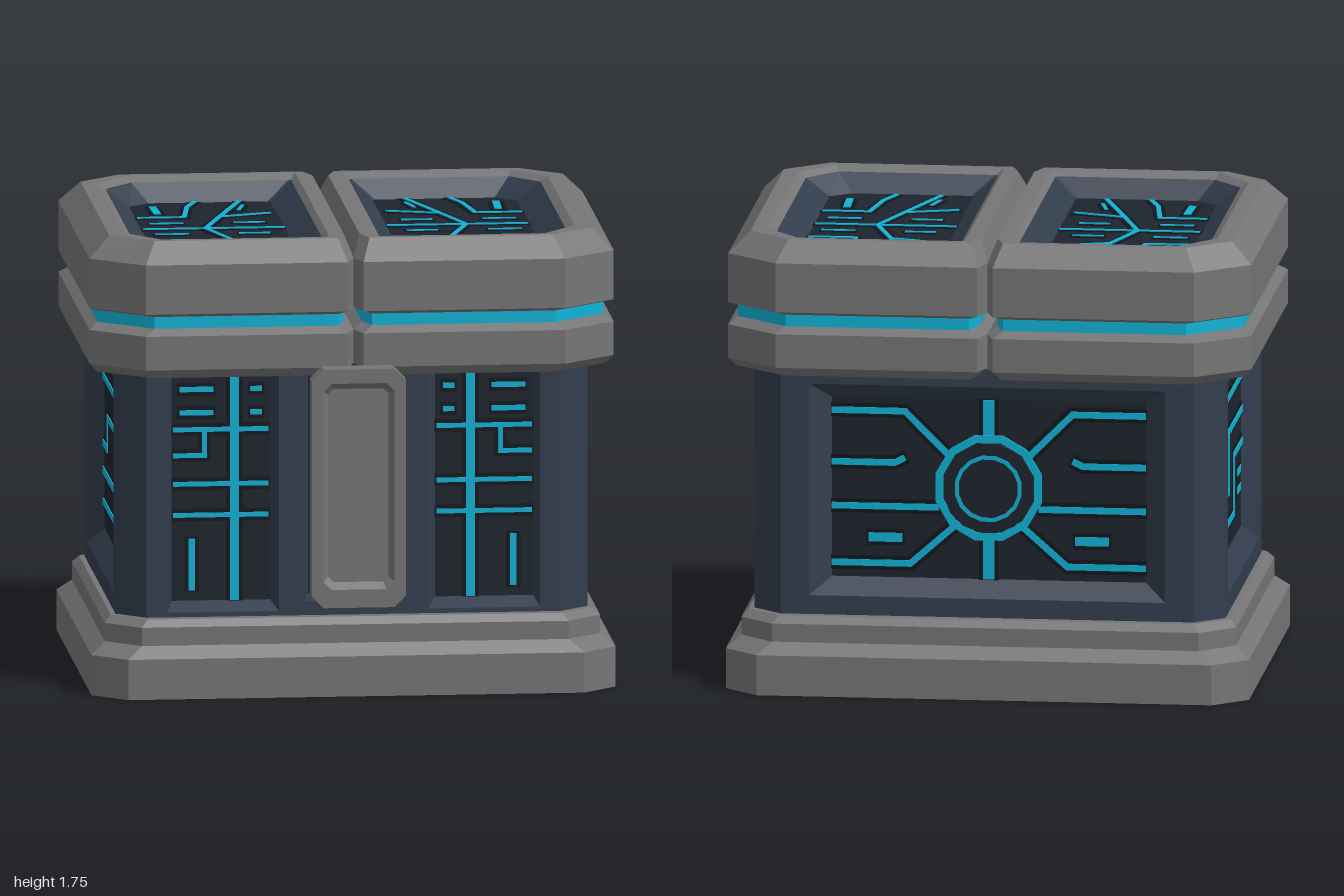
import * as THREE from 'three';
import { mergeGeometries } from 'three/addons/utils/BufferGeometryUtils.js';

const material = (color) => new THREE.MeshStandardMaterial({ color, flatShading: true });
const GREY = material(0x757575), BLUE = material(0x323d4d), DARK = material(0x1d242e),
  BLACK = material(0x11161d), CYAN = material(0x10b2d6);

function add(parent, name, geometry, mat) {
  const mesh = new THREE.Mesh(geometry, mat);
  mesh.name = name;
  parent.add(mesh);
  return mesh;
}

// Octagonal ring in the xy plane at height z; separate chamfers on the inner (x0) and outer (x1) sides.
function octagon(z, x0, x1, y0, y1, [ix, iy], [ox, oy], side = 1) {
  const ring = [[x0 + ix, y0], [x1 - ox, y0], [x1, y0 + oy], [x1, y1 - oy],
    [x1 - ox, y1], [x0 + ix, y1], [x0, y1 - iy], [x0, y0 + iy]].map(([x, y]) => [x * side, y, z]);
  return side < 0 ? ring.reverse() : ring;
}
const rect = (z, x0, x1, y0, y1) => [[x0, y0, z], [x1, y0, z], [x1, y1, z], [x0, y1, z]];

// Joins counter-clockwise rings with flat faces, with optional end caps.
function loft(rings, capStart = false, capEnd = false) {
  const p = [], n = rings[0].length;
  const tri = (a, b, c) => p.push(...a, ...b, ...c);
  for (let i = 0; i < rings.length - 1; i++) {
    for (let j = 0; j < n; j++) {
      const k = (j + 1) % n, lo = rings[i], hi = rings[i + 1];
      tri(lo[j], lo[k], hi[k]);
      tri(lo[j], hi[k], hi[j]);
    }
  }
  const first = rings[0], last = rings[rings.length - 1];
  for (let j = 1; j < n - 1; j++) {
    if (capStart) tri(first[0], first[j + 1], first[j]);
    if (capEnd) tri(last[0], last[j], last[j + 1]);
  }
  const g = new THREE.BufferGeometry();
  g.setAttribute('position', new THREE.Float32BufferAttribute(p, 3));
  g.computeVertexNormals();
  return g;
}

const extrude = (shape, depth) => new THREE.ExtrudeGeometry(shape, { depth, bevelEnabled: false });

// Flat mitred strip following a polyline.
function ribbon(points, width, depth, extend = 0) {
  const pts = points.map(([x, y]) => new THREE.Vector2(x, y)), n = pts.length;
  const dirs = pts.slice(1).map((q, i) => q.clone().sub(pts[i]).normalize());
  pts[0].addScaledVector(dirs[0], -extend);
  pts[n - 1].addScaledVector(dirs[n - 2], extend);
  const left = [], right = [];
  pts.forEach((q, i) => {
    const a = dirs[Math.max(i - 1, 0)], b = dirs[Math.min(i, n - 2)];
    const m = new THREE.Vector2(-a.y - b.y, a.x + b.x).normalize();
    const reach = width / 2 / (m.x * -a.y + m.y * a.x);
    left.push(q.clone().addScaledVector(m, reach));
    right.unshift(q.clone().addScaledVector(m, -reach));
  });
  return extrude(new THREE.Shape([...left, ...right]), depth);
}

// Glowing lines, each lying in a slightly wider black channel. A line is [width, ...points].
function circuit(parent, lines, z, mirror = 1) {
  const paths = lines.map(([w, ...pts]) => [w, pts.map(([x, y]) => [x * mirror, y])]);
  const build = (extra, depth, extend) => mergeGeometries(paths.map(([w, p]) => ribbon(p, w + extra, depth, extend)));
  add(parent, 'circuitChannels', build(0.03, 0.003, 0.008), BLACK).position.z = z;
  add(parent, 'circuitLines', build(0, 0.007, 0), CYAN).position.z = z;
}

// Wall face with bevelled rectangular recesses: each is [outer bounds, inner bounds].
function wall(parent, [x0, x1], recesses) {
  const depth = 0.06, toShape = (b) => rect(0, ...b).map(([x, y]) => new THREE.Vector2(x, y));
  const face = new THREE.Shape(toShape([x0, x1, 0.27, 1.26]));
  recesses.forEach(([outer]) => face.holes.push(new THREE.Path(toShape(outer))));
  add(parent, 'wallFrame', new THREE.ShapeGeometry(face), BLUE);
  for (const [outer, inner] of recesses) {
    add(parent, 'panelBevel', loft([rect(0, ...outer), rect(-depth, ...inner)]), BLUE);
    add(parent, 'wallPanel', loft([rect(-depth, ...inner)], false, true), DARK);
  }
}

const SIDE_LINES = [
  [0.026, [-0.405, 1.025], [0.505, 1.025]],
  [0.026, [-0.405, 0.89], [0.345, 0.89], [0.345, 0.765], [0.505, 0.765]],
  [0.03, [0.05, 0.89], [0.05, 0.66], [0.505, 0.66]],
  [0.026, [-0.405, 0.765], [-0.12, 0.765], [-0.12, 0.54], [0.505, 0.54]],
  [0.026, [-0.35, 0.67], [-0.24, 0.67]], [0.026, [-0.35, 0.6], [-0.24, 0.6]],
];
const FRONT_LINES = [
  [0.035, [0.45, 0.35], [0.45, 1.21]],
  ...[1.01, 0.8, 0.68].map((y) => [0.018, [0.32, y], [0.685, y]]),
  [0.018, [0.685, 0.91], [0.565, 0.91], [0.565, 1.01]],
  ...[1.165, 1.075].flatMap((y) => [[0.02, [0.53, y], [0.66, y]], [0.02, [0.345, y], [0.39, y]]]),
  [0.025, [0.613, 0.39], [0.613, 0.59]],
];
const BACK_LINES = [
  [0.025, [0.6, 1.08], [0.32, 1.08], [0.15, 0.91]],
  [0.025, [0.6, 0.88], [0.36, 0.88], [0.32, 0.9]],
  [0.025, [0.6, 0.71], [0.19, 0.71]],
  [0.035, [0.46, 0.59], [0.33, 0.59]],
  [0.025, [0.6, 0.49], [0.3, 0.49], [0.13, 0.64]],
];
// Half of a lid pattern, measured from its middle line.
const LID_LINES = [
  [0.018, [0.497, 0], [0.42, 0.245], [0.315, 0.575]],
  [0.018, [0.42, 0.245], [0.22, 0.31]],
  [0.018, [0.735, 0.245], [0.555, 0.245], [0.525, 0.46], [0.485, 0.575]],
  [0.014, [0.57, 0.115], [0.7, 0.115]], [0.014, [0.26, 0.115], [0.38, 0.115]],
  [0.028, [0.65, 0.32], [0.655, 0.475]], [0.014, [0.335, 0.38], [0.31, 0.485]],
];

function medallionRing(r0, r1, sides) {
  const circle = (r) => Array.from({ length: sides }, (_, i) => {
    const a = ((i + 0.5) / sides) * Math.PI * 2;
    return new THREE.Vector2(Math.cos(a) * r, 0.79 + Math.sin(a) * r);
  });
  const shape = new THREE.Shape(circle(r1));
  if (r0) shape.holes.push(new THREE.Path(circle(r0)));
  return shape;
}

function createBody(root) {
  // Side walls, mirrored
  for (const s of [1, -1]) {
    const side = new THREE.Group();
    side.name = s > 0 ? 'leftWall' : 'rightWall';
    side.rotation.y = s * Math.PI / 2;
    side.position.x = s * 0.9;
    const span = (a, b) => (s > 0 ? [a, b] : [-b, -a]);
    wall(side, span(-0.57, 0.67), [[[...span(-0.485, 0.58), 0.37, 1.19], [...span(-0.405, 0.505), 0.435, 1.13]]]);
    circuit(side, SIDE_LINES, -0.06, s);
    root.add(side);
  }
  // Front wall with three recesses
  const front = new THREE.Group();
  front.name = 'frontWall';
  front.position.z = 0.67;
  wall(front, [-0.79, 0.79], [
    [[-0.71, -0.285, 0.315, 1.25], [-0.69, -0.315, 0.35, 1.21]],
    [[-0.19, 0.19, 0.35, 1.25], [-0.17, 0.17, 0.37, 1.21]],
    [[0.285, 0.71, 0.315, 1.25], [0.315, 0.69, 0.35, 1.21]]]);
  for (const s of [1, -1]) circuit(front, FRONT_LINES, -0.06, s);
  circuit(front, [[0.02, [-0.11, 1.18], [-0.11, 0.385], [0.11, 0.385], [0.11, 1.18]]], -0.06);
  root.add(front);
  // Back wall with a round medallion
  const back = new THREE.Group();
  back.name = 'backWall';
  back.rotation.y = Math.PI;
  back.position.z = -0.77;
  wall(back, [-0.79, 0.79], [[[-0.68, 0.68, 0.37, 1.19], [-0.6, 0.6, 0.435, 1.13]]]);
  for (const s of [1, -1]) circuit(back, BACK_LINES, -0.06, s);
  circuit(back, [[0.045, [0, 0.435], [0, 0.6]], [0.045, [0, 0.98], [0, 1.13]]], -0.06);
  add(back, 'medallionRing', extrude(medallionRing(0.18, 0.21, 12), 0.012), CYAN).position.z = -0.06;
  add(back, 'medallionDisc', extrude(medallionRing(0, 0.175, 16), 0.02), DARK).position.z = -0.06;
  add(back, 'medallionInnerRing', extrude(medallionRing(0.115, 0.13, 16), 0.005), CYAN).position.z = -0.04;
  root.add(back);
  // Chamfered corner posts
  for (const sx of [1, -1]) for (const sz of [1, -1]) {
    const shape = new THREE.Shape([[0.79, 0.62], [0.9, 0.62], [0.79, 0.72]]
      .map(([x, y]) => new THREE.Vector2(x * sx, -(y * sz - 0.05))));
    const post = add(root, 'cornerPost', extrude(shape, 0.99), BLUE);
    post.rotation.x = -Math.PI / 2;
    post.position.y = 0.27;
  }
}

function createLid(root, s) {
  const lid = new THREE.Group();
  lid.name = s > 0 ? 'leftLid' : 'rightLid';
  lid.rotation.x = -Math.PI / 2;
  const ring = (z, x0, x1, half, outer = [0.2, 0.17], inner = [0.03, 0.09]) =>
    octagon(z, x0, x1, 0.05 - half, 0.05 + half, inner, outer, s);
  const grooveLow = ring(1.42, 0.035, 0.965, 0.765), grooveHigh = ring(1.465, 0.035, 0.965, 0.765);
  add(lid, 'lidLowerBand', loft([ring(1.23, 0.03, 0.97, 0.77), ring(1.265, 0, 1, 0.8),
    ring(1.395, 0, 1, 0.8), grooveLow], true), GREY);
  add(lid, 'lidGlowBand', loft([grooveLow, grooveHigh]), CYAN);
  const sharp = [0.01, 0.01];
  const lip = ring(1.73, 0.11, 0.83, 0.655, [0.11, 0.13], sharp);
  const floor = ring(1.66, 0.195, 0.74, 0.59, [0.08, 0.065], sharp);
  add(lid, 'lidUpperBand', loft([grooveHigh, ring(1.48, 0, 1, 0.8), ring(1.67, 0, 1, 0.8),
    ring(1.75, 0.03, 0.92, 0.72, [0.16, 0.14]), ring(1.75, 0.09, 0.86, 0.69, [0.13, 0.16], sharp), lip]), GREY);
  add(lid, 'lidPanelBevel', loft([lip, floor]), BLUE);
  add(lid, 'lidPanel', loft([floor], false, true), DARK);
  const lines = [1, -1].flatMap((m) => LID_LINES.map(([w, ...pts]) => [w, ...pts.map(([x, y]) => [x, 0.06 + y * m])]));
  circuit(lid, [...lines, [0.018, [0.195, 0.06], [0.735, 0.06]]], 1.66, s);
  root.add(lid);
}

export function createModel() {
  const root = new THREE.Group();
  root.name = 'chest';

  // Stepped base
  const base = new THREE.Group();
  base.name = 'base';
  base.rotation.x = -Math.PI / 2;
  const step = (z, w, d) => octagon(z, -w, w, 0.05 - d, 0.05 + d, [0.13, 0.12], [0.13, 0.12]);
  add(base, 'basePlinth', loft([step(0, 1, 0.83), step(0.155, 1, 0.83), step(0.2, 0.945, 0.785),
    step(0.27, 0.945, 0.785), step(0.297, 0.92, 0.76)], false, true), GREY);
  add(base, 'baseUnderside', loft([step(0, 1, 0.83)], true), DARK);
  root.add(base);

  createBody(root);
  for (const s of [1, -1]) createLid(root, s);

  // Front latch with a sunken face
  const plate = (z, w, y0, y1, c) => octagon(z, -w, w, y0, y1, [c, c], [c, c]);
  add(root, 'latchPlate', loft([plate(0.8, 0.18, 0.36, 1.28, 0.045), plate(0.88, 0.18, 0.36, 1.28, 0.045),
    plate(0.88, 0.135, 0.43, 1.225, 0.03), plate(0.85, 0.115, 0.455, 1.2, 0.02)], true, true), GREY);
  add(root, 'latchMount', new THREE.BoxGeometry(0.24, 0.35, 0.22), GREY).position.set(0, 0.965, 0.7);
  return root;
}
